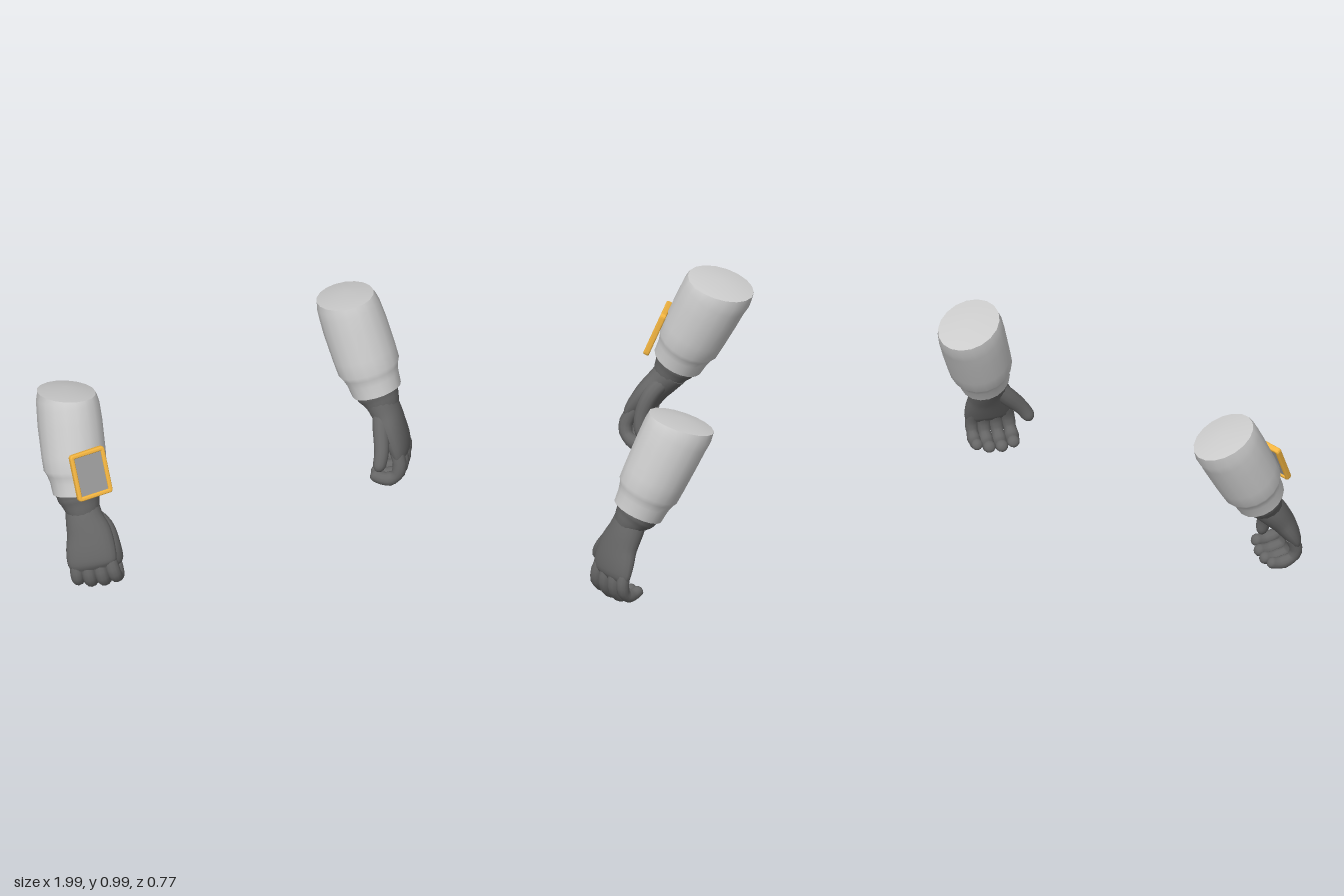
import * as THREE from 'three';

const V = (x, y, z) => new THREE.Vector3(x, y, z);
const mat = (color) => new THREE.MeshStandardMaterial({ color });
const sleeveMat = mat(0xcccccc), gloveMat = mat(0x666666), frameMat = mat(0xf2b440), screenMat = mat(0x999999);

// Capped skin over elliptical rings along a path; radii are [side, depth] pairs.
// steps > 0 smooths the path, round closes the far end like a fingertip,
// dome raises the middle of the first cap.
function loft(name, material, path, radii, { steps = 0, round = false, sides = 16, dome = V(0, 0, 0) } = {}) {
  let pts = path, rad = radii.map(([a, b]) => V(a, b, 0));
  if (steps) {
    const pc = new THREE.CatmullRomCurve3(path), rc = new THREE.CatmullRomCurve3(rad);
    // pack samples toward the tip so that it rounds cleanly
    const us = Array.from({ length: steps + 1 }, (_, i) => (round ? Math.sin((i / steps) * Math.PI / 2) : i / steps));
    pts = us.map((u) => pc.getPoint(u));
    rad = us.map((u) => {
      const k = round && u > 0.86 ? Math.sqrt(Math.max(0.002, 1 - ((u - 0.86) / 0.14) ** 2)) : 1;
      return rc.getPoint(u).multiplyScalar(k);
    });
  }
  const pos = [], idx = [], n = pts.length;
  const addRing = (i) => {
    const T = pts[Math.min(i + 1, n - 1)].clone().sub(pts[Math.max(i - 1, 0)]).normalize();
    const u = V(1, 0, 0).addScaledVector(T, -T.x).normalize();
    const v = T.clone().cross(u);
    for (let j = 0; j < sides; j++) {
      const a = (j / sides) * Math.PI * 2;
      const p = pts[i].clone().addScaledVector(u, Math.cos(a) * rad[i].x).addScaledVector(v, Math.sin(a) * rad[i].y);
      pos.push(p.x, p.y, p.z);
    }
  };
  for (let i = 0; i < n; i++) addRing(i);
  for (let i = 0; i < n - 1; i++) {
    for (let j = 0; j < sides; j++) {
      const k = (j + 1) % sides, a = i * sides, b = a + sides;
      idx.push(a + j, a + k, b + k, a + j, b + k, b + j);
    }
  }
  for (const end of [0, n - 1]) {
    const base = pos.length / 3;
    addRing(end);
    pos.push(...(end ? pts[end] : pts[0].clone().add(dome)).toArray());
    for (let j = 0; j < sides; j++) {
      const k = (j + 1) % sides;
      if (end) idx.push(base + sides, base + j, base + k);
      else idx.push(base + sides, base + k, base + j);
    }
  }
  const g = new THREE.BufferGeometry();
  g.setAttribute('position', new THREE.Float32BufferAttribute(pos, 3));
  g.setIndex(idx);
  g.computeVertexNormals();
  const m = new THREE.Mesh(g, material);
  m.name = name;
  return m;
}

// Gloved hand hanging down local -y, back of hand to +z, thumb on the s side.
// curl lists [drop, depth] along a finger from the knuckle to the tip.
function makeHand(s, thumbTip, curl) {
  const hand = new THREE.Group();
  const P = (x, y, z) => V(s * x, y, z);
  hand.add(loft('palm', gloveMat,
    [P(0, 0.03, -0.01), P(0, -0.05, 0), P(0.01, -0.13, 0.005), P(0.005, -0.21, 0.005), P(0, -0.265, 0), P(0, -0.295, -0.01)],
    [[0.08, 0.08], [0.094, 0.074], [0.112, 0.064], [0.122, 0.054], [0.12, 0.043], [0.098, 0.022]],
    { steps: 16, sides: 20 }));
  // four curled fingers, from index to little finger
  const fingers = [['index', 0.092, 0.98], ['middle', 0.032, 1.04], ['ring', -0.029, 1], ['little', -0.087, 0.88]];
  const spread = [0.9, 1, 1.04, 1.04, 1, 0.97], taper = [1, 1.05, 1, 1, 0.95, 0.85];
  for (const [label, x, k] of fingers) {
    const r = 0.033 * Math.min(1, k + 0.04);
    hand.add(loft(label + 'Finger', gloveMat,
      curl.map(([drop, z], i) => P(x * spread[i], -0.23 - drop * k, z * k)),
      taper.map((f) => [r * f, r * f]),
      { steps: 18, round: true, sides: 12 }));
  }
  const [tx, ty, tz] = thumbTip;
  hand.add(loft('thumb', gloveMat,
    [P(0.03, -0.03, -0.015), P(0.085, -0.1, -0.03), P(tx * 0.5 + 0.055, ty * 0.5 - 0.06, tz * 0.4 - 0.015), P(tx, ty, tz)],
    [[0.045, 0.045], [0.045, 0.042], [0.037, 0.036], [0.031, 0.03]],
    { steps: 18, round: true, sides: 12 }));
  return hand;
}

// Sleeve, glove cuff and hand of one forearm
function makeArm({ name, s, top, cuff, wrist, turn, lean, roll, thumbTip, curl }) {
  const arm = new THREE.Group();
  arm.name = name;
  const at = (t) => top.clone().lerp(cuff, t);
  // slanted, slightly domed top end
  const slant = V(s * 0.13, 1, -0.29).normalize();
  const rings = [[0.14, 0.152, 0.17], [0.3, 0.157, 0.168], [0.6, 0.157, 0.161],
    [0.75, 0.154, 0.156], [0.8, 0.141, 0.143], [0.87, 0.13, 0.134], [1, 0.122, 0.127]];
  arm.add(loft('sleeve', sleeveMat,
    [top, top.clone().addScaledVector(slant, -0.03), ...rings.map((r) => at(r[0]))],
    [[0.138, 0.167], [0.146, 0.17], ...rings.map((r) => [r[1], r[2]])],
    { sides: 18, dome: slant.clone().multiplyScalar(0.025) }));
  const down = wrist.clone().sub(cuff);
  arm.add(loft('gloveCuff', gloveMat,
    [at(0.9), at(1.0), cuff.clone().addScaledVector(down, 0.3), cuff.clone().addScaledVector(down, 0.6),
      wrist.clone(), wrist.clone().addScaledVector(down, 0.35)],
    [[0.108, 0.112], [0.108, 0.112], [0.105, 0.107], [0.094, 0.095], [0.085, 0.083], [0.074, 0.07]],
    { steps: 12 }));
  const hand = makeHand(s, thumbTip, curl);
  hand.name = 'hand';
  hand.position.copy(wrist);
  hand.rotation.set(-lean, turn, roll, 'YXZ');
  arm.add(hand);
  return arm;
}

function roundedRect(T, w, h, r) {
  const p = new T(), x = w / 2, y = h / 2;
  p.moveTo(-x + r, -y);
  p.lineTo(x - r, -y); p.quadraticCurveTo(x, -y, x, -y + r);
  p.lineTo(x, y - r); p.quadraticCurveTo(x, y, x - r, y);
  p.lineTo(-x + r, y); p.quadraticCurveTo(-x, y, -x, y - r);
  p.lineTo(-x, -y + r); p.quadraticCurveTo(-x, -y, -x + r, -y);
  return p;
}

// Framed panel worn on the forearm
function makePanel() {
  const panel = new THREE.Group();
  panel.name = 'wristPanel';
  const shape = roundedRect(THREE.Shape, 0.172, 0.226, 0.012);
  shape.holes.push(roundedRect(THREE.Path, 0.157, 0.211, 0.006));
  const geo = new THREE.ExtrudeGeometry(shape, { depth: 0.014, bevelThickness: 0.008, bevelSize: 0.007, bevelSegments: 3, curveSegments: 4 });
  geo.translate(0, 0, -0.007);
  const frame = new THREE.Mesh(geo, frameMat);
  frame.name = 'panelFrame';
  const screen = new THREE.Mesh(new THREE.BoxGeometry(0.158, 0.212, 0.012), screenMat);
  screen.name = 'panelScreen';
  panel.add(frame, screen);
  panel.position.set(-0.835, 0.661, 0.202);
  panel.rotation.set(-0.39, 0, 0.03);
  return panel;
}

export function createModel() {
  const model = new THREE.Group();
  model.name = 'forearms';
  model.add(makeArm({
    name: 'leftArm', s: -1, top: V(0.75, 0.924, -0.225), cuff: V(0.825, 0.465, -0.025),
    wrist: V(0.838, 0.41, 0.016), turn: 0.97, lean: 0.36, roll: -0.09, thumbTip: [0.195, -0.265, -0.085],
    curl: [[0, 0], [0.075, -0.004], [0.128, -0.038], [0.14, -0.09], [0.115, -0.14], [0.088, -0.16]],
  }));
  const rightArm = makeArm({
    name: 'rightArm', s: 1, top: V(-0.812, 0.938, -0.115), cuff: V(-0.855, 0.49, 0.105),
    wrist: V(-0.852, 0.418, 0.15), turn: -0.6, lean: 0.55, roll: 0.25, thumbTip: [0.105, -0.3, -0.141],
    curl: [[0, -0.005], [0.09, -0.025], [0.128, -0.07], [0.118, -0.135], [0.085, -0.175], [0.055, -0.19]],
  });
  rightArm.add(makePanel());
  model.add(rightArm);
  return model;
}
